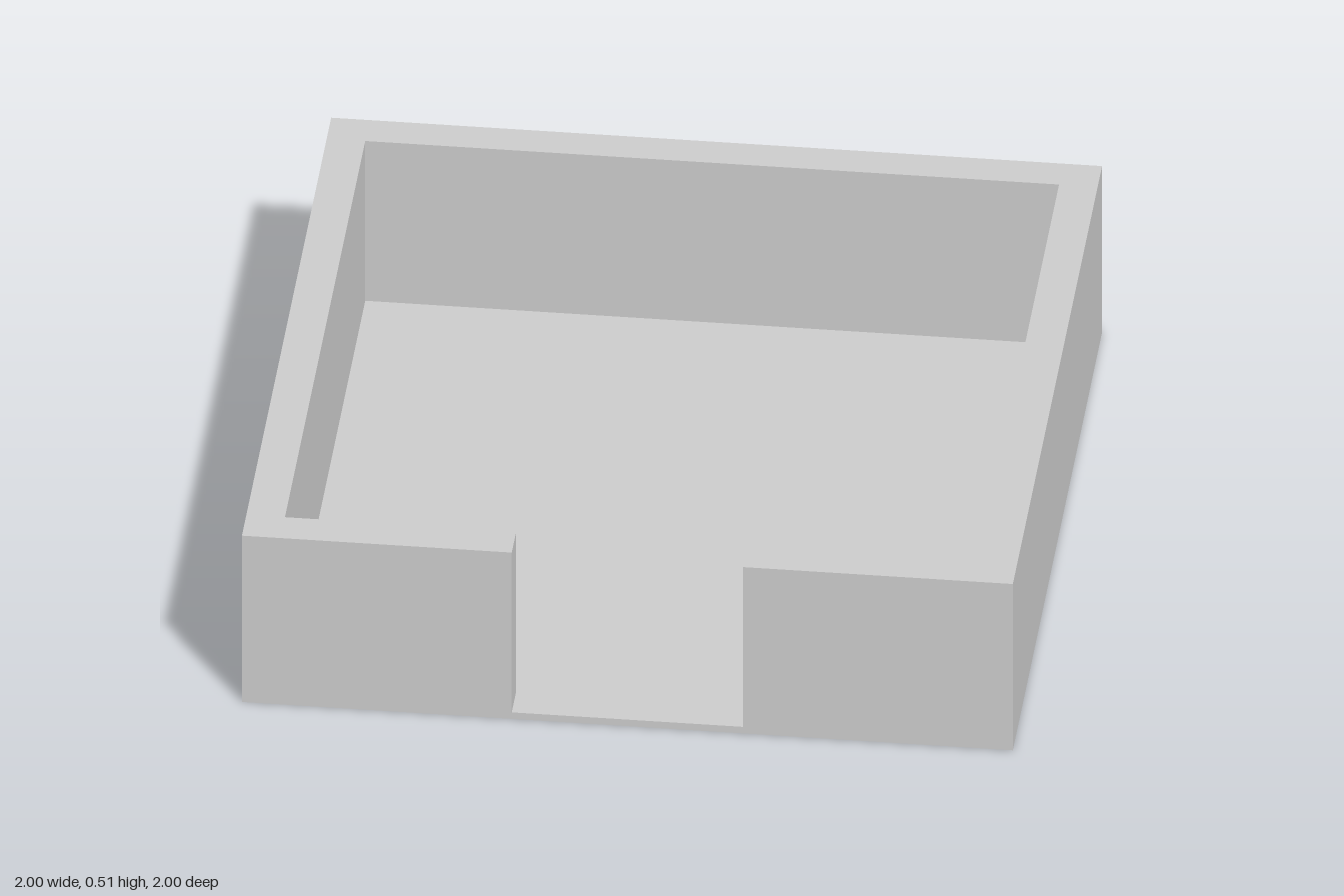
import * as THREE from 'three';

const HALF = 1, INNER = 0.9, GAP = 0.3; // outer half-width, inner half-width, half doorway
const FLOOR = 0.02, TOP = 0.51;

export function createModel() {
  const group = new THREE.Group();
  group.name = 'walledEnclosure';
  const material = new THREE.MeshStandardMaterial({ color: 0xcccccc, flatShading: true });

  // Thin floor slab
  const floor = new THREE.Mesh(new THREE.BoxGeometry(2 * HALF, FLOOR, 2 * HALF), material);
  floor.name = 'floor';
  floor.position.y = FLOOR / 2;
  group.add(floor);

  // One continuous wall, open at the front doorway; plan drawn with the front at -y
  const half = [[GAP, -HALF], [HALF, -HALF], [HALF, HALF]];
  const inside = [[INNER, INNER], [INNER, -INNER], [GAP, -INNER]];
  const mirror = (points) => points.map(([x, y]) => [-x, y]).reverse();
  const outline = [...half, ...mirror(half), ...mirror(inside), ...inside];
  const plan = new THREE.Shape(outline.map(([x, y]) => new THREE.Vector2(x, y)));
  const wallGeometry = new THREE.ExtrudeGeometry(plan, { depth: TOP - FLOOR, bevelEnabled: false });
  wallGeometry.rotateX(-Math.PI / 2);
  const walls = new THREE.Mesh(wallGeometry, material);
  walls.name = 'walls';
  walls.position.y = FLOOR;
  group.add(walls);

  return group;
}
